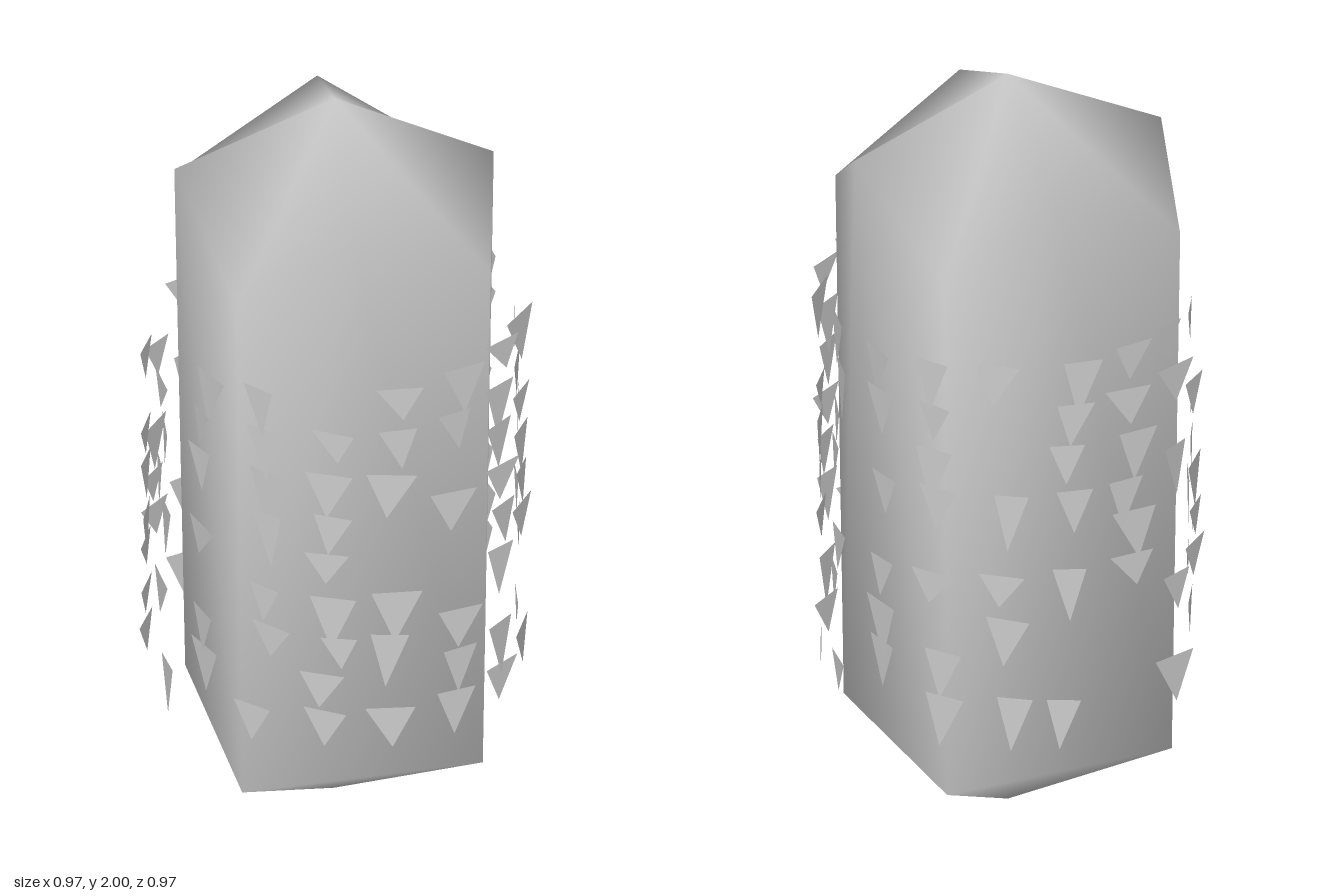
import * as THREE from 'three';

const DEG = Math.PI / 180;
const material = new THREE.MeshStandardMaterial({ color: 0xcccccc });
const thinMaterial = new THREE.MeshStandardMaterial({ color: 0xcccccc, side: THREE.DoubleSide });

function buildGeometry(positions, index) {
  const g = new THREE.BufferGeometry();
  g.setAttribute('position', new THREE.Float32BufferAttribute(positions, 3));
  if (index) g.setIndex(index);
  g.computeVertexNormals();
  return g;
}

// Four-sided trunk: lower ring, shoulder ring and crown ring between two poles
function createTrunk() {
  const rings = [
    { radius: 0.43, y: 0.215, start: -17.6 },
    { radius: 0.452, y: 1.64, start: -17.6 },
    { radius: 0.395, y: 1.82, start: 34.7 },
  ];
  const positions = [];
  for (const { radius, y, start } of rings) {
    for (let i = 0; i < 4; i++) {
      const a = (start + i * 90) * DEG;
      positions.push(radius * Math.cos(a), y, radius * Math.sin(a));
    }
  }
  positions.push(0, 0, 0, 0, 2, 0);
  const foot = 12, apex = 13, index = [];
  for (let i = 0; i < 4; i++) {
    const j = (i + 1) % 4;
    const low = i, lowNext = j, shoulder = 4 + i, shoulderNext = 4 + j, crown = 8 + i;
    index.push(
      foot, low, lowNext,
      low, shoulder, crown,
      low, crown, lowNext,
      lowNext, crown, shoulderNext,
      shoulder, apex, crown,
      crown, apex, shoulderNext,
    );
  }
  return new THREE.Mesh(buildGeometry(positions, index), material);
}

// Small seeded generator, returns -1..1
function seeded(seed) {
  return () => {
    seed = (seed * 16807) % 2147483647;
    return (seed / 2147483647) * 2 - 1;
  };
}

// One string per column around the trunk; 1 marks a spine, top row first
const columns = [
  '110100111', '111001101', '011111111', '111101101', '111010110',
  '011110101', '010111111', '001011100', '110100101', '111111000',
  '111101001', '100101101', '111101011', '110101110', '111101101',
  '101111001', '111111011',
];

// Flat triangular spines hanging point down in a loose ring around the trunk
function createSpines() {
  const rand = seeded(4711);
  const positions = [];
  columns.forEach((rows, c) => {
    [...rows].forEach((mark, r) => {
      if (mark !== '1') return;
      const angle = (c * 360 / columns.length + rand() * 3.5) * DEG;
      const tilt = (14 + rand() * 7) * DEG;
      const half = 0.053 + rand() * 0.011;
      const height = 0.118 + rand() * 0.035;
      const top = 1.42 - r * 0.115 + rand() * 0.012;
      const out = new THREE.Vector3(Math.cos(angle), 0, Math.sin(angle));
      const along = new THREE.Vector3(out.z, 0, -out.x)
        .multiplyScalar(Math.cos(tilt)).addScaledVector(out, Math.sin(tilt));
      const centre = out.clone().multiplyScalar(0.463).setY(top);
      const right = centre.clone().addScaledVector(along, half);
      const left = centre.clone().addScaledVector(along, -half);
      const tip = centre.clone().addScaledVector(along, rand() * 0.015);
      tip.y -= height;
      for (const p of [right, left, tip]) positions.push(p.x, p.y, p.z);
    });
  });
  return new THREE.Mesh(buildGeometry(positions), thinMaterial);
}

export function createModel() {
  const model = new THREE.Group();
  model.name = 'spinyTrunk';
  const trunk = createTrunk();
  trunk.name = 'trunk';
  const spines = createSpines();
  spines.name = 'spines';
  model.add(trunk, spines);
  return model;
}
